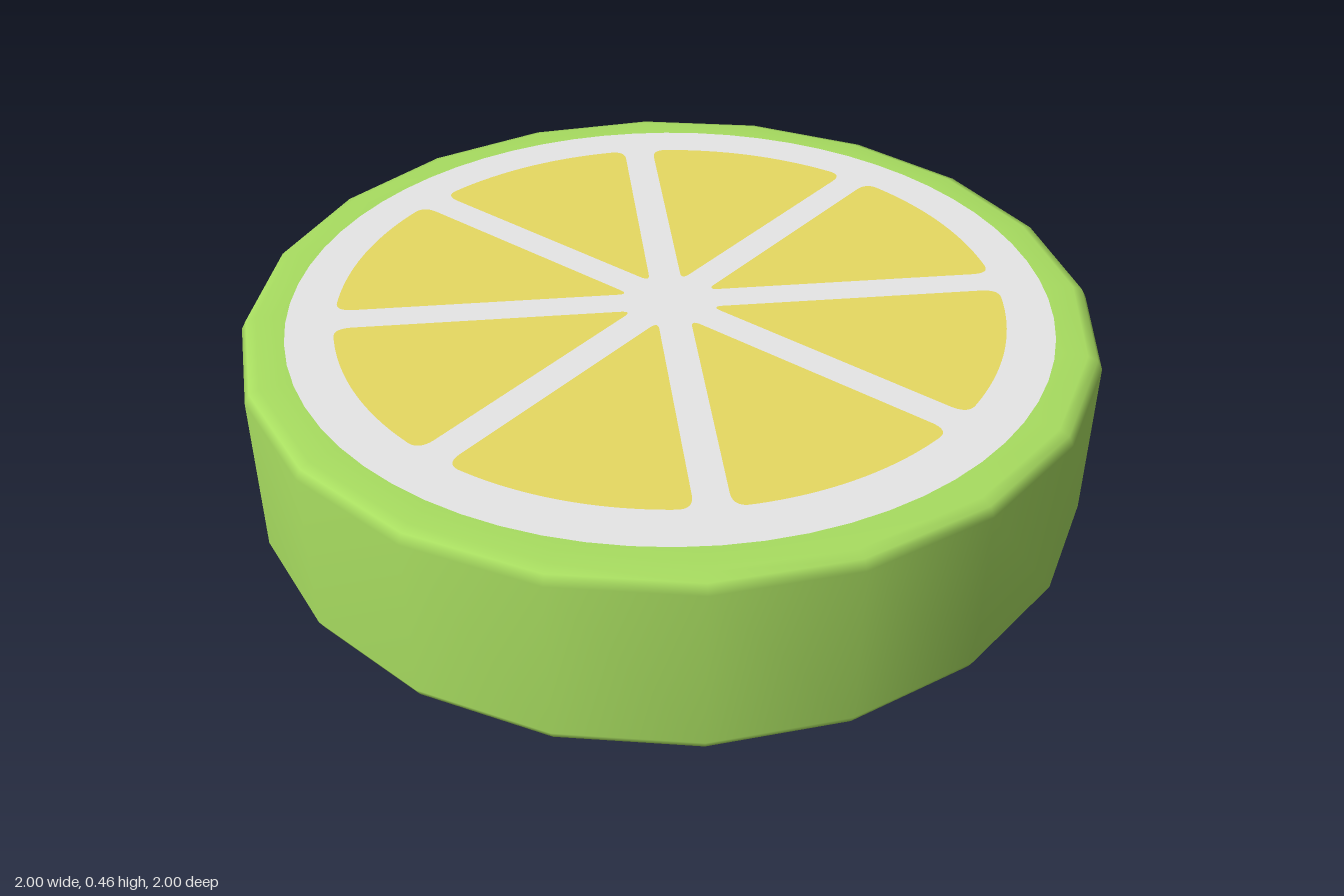
import * as THREE from 'three';

const HEIGHT = 0.46, INSET = 0.004;
const DEG = Math.PI / 180;

function material(name, color) {
  const m = new THREE.MeshStandardMaterial({ color });
  m.name = name;
  return m;
}

// One wedge of flesh pointing along +x, with rounded corners
function wedgeShape(radius, halfGap, halfAngle) {
  const tip = new THREE.Vector2(halfGap / Math.sin(halfAngle), 0);
  const a = halfAngle - Math.asin(halfGap / radius);
  const corner = new THREE.Vector2(radius * Math.cos(a), radius * Math.sin(a));
  const along = corner.clone().sub(tip).normalize();
  const near = tip.clone().addScaledVector(along, 0.03);
  const far = corner.clone().addScaledVector(along, -0.045);
  const arc = a - 0.045;

  const s = new THREE.Shape();
  s.moveTo(near.x, -near.y);
  s.lineTo(far.x, -far.y);
  s.quadraticCurveTo(corner.x, -corner.y, radius * Math.cos(arc), -radius * Math.sin(arc));
  s.absarc(0, 0, radius, -arc, arc, false);
  s.quadraticCurveTo(corner.x, corner.y, far.x, far.y);
  s.lineTo(near.x, near.y);
  s.quadraticCurveTo(tip.x, tip.y, near.x, -near.y);
  return s;
}

export function createModel() {
  const model = new THREE.Group();
  model.name = 'citrusSlice';
  const green = material('rind green', 0xa8dd60);
  const white = material('pith white', 0xeaeaea);
  const yellow = material('flesh yellow', 0xeadc63);

  // Twenty-sided rind with a small rounded rim
  const low = INSET, high = HEIGHT - INSET;
  const profile = [
    [0, low], [0.9, low], [0.965, low], [0.988, low + 0.008], [1, low + 0.03],
    [1, high - 0.03], [0.988, high - 0.008], [0.965, high], [0.9, high], [0, high],
  ].map(([x, y]) => new THREE.Vector2(x, y));
  const rind = new THREE.Mesh(new THREE.LatheGeometry(profile, 20), green);
  rind.name = 'rind';
  model.add(rind);

  // Cut faces: a pith disc with eight wedges, top and bottom
  const pithGeometry = new THREE.CircleGeometry(0.893, 64);
  const wedgeGeometry = new THREE.ShapeGeometry(wedgeShape(0.782, 0.038, 22.5 * DEG), 12);
  for (const side of [1, -1]) {
    const face = new THREE.Group();
    face.name = side > 0 ? 'topFace' : 'bottomFace';
    face.rotation.x = -side * Math.PI / 2;
    face.position.y = side > 0 ? HEIGHT : 0;

    const pith = new THREE.Mesh(pithGeometry, white);
    pith.name = 'pith';
    pith.position.z = -INSET / 2;
    face.add(pith);

    for (let i = 0; i < 8; i++) {
      const wedge = new THREE.Mesh(wedgeGeometry, yellow);
      wedge.name = 'fleshSegment';
      wedge.rotation.z = (side * 33.75 + i * 45) * DEG;
      face.add(wedge);
    }
    model.add(face);
  }
  return model;
}
